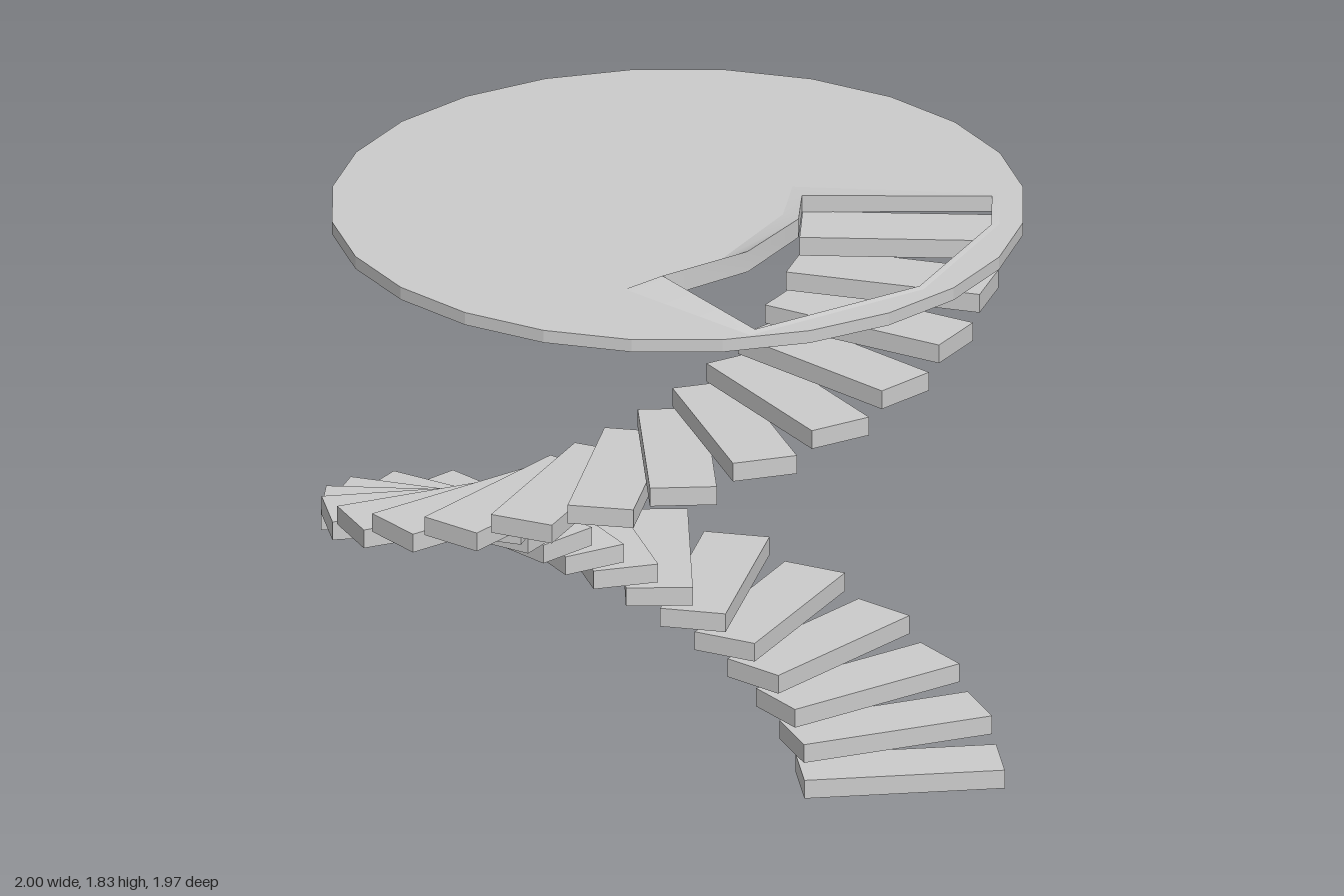
import * as THREE from 'three';
import { toCreasedNormals } from 'three/addons/utils/BufferGeometryUtils.js';

const DEG = Math.PI / 180;
const FLOOR_TOP = 1.803, FLOOR_BOTTOM = 1.765;

// Stairwell corners: x, z, outward spread of the raised lip, lip height
const CORNERS = [
  [-0.28, 0.49, 0.2, 0.022], [0.02, 0.43, 0.25, 0.018],
  [0.26, 0.27, 0.3, 0.012], [0.35, 0.11, 0.2, 0.006],
  [0.835, 0.345, 0.06, 0.002], [0.74, 0.53, 0.06, 0.002],
  [0.36, 0.84, 0.06, 0.003], [-0.2, 0.92, 0.05, 0.006],
];
const spread = ([x, z, k]) => new THREE.Vector2(x + (x - 0.3) * k, z + (z - 0.52) * k);

// 24-sided slab with an opening for the lip
function floorGeometry() {
  const rim = [];
  for (let i = 0; i < 24; i++) {
    const a = (4 + i * 15) * DEG;
    rim.push(new THREE.Vector2(0.011 + 0.988 * Math.cos(a), 0.988 * Math.sin(a)));
  }
  const shape = new THREE.Shape(rim);
  shape.holes.push(new THREE.Path(CORNERS.map(spread)));
  const geo = new THREE.ExtrudeGeometry(shape, { depth: FLOOR_TOP - FLOOR_BOTTOM, bevelEnabled: false });
  return geo.rotateX(Math.PI / 2).translate(0, FLOOR_TOP, 0);
}

// Gently raised lip: a four-point section carried round the opening
function lipGeometry() {
  const pos = [], index = [], n = CORNERS.length;
  CORNERS.forEach((c, i) => {
    const o = spread(c);
    pos.push(o.x, FLOOR_TOP, o.y, c[0], FLOOR_TOP + c[3], c[1],
      c[0], FLOOR_BOTTOM - 0.007, c[1], o.x, FLOOR_BOTTOM, o.y);
    for (let j = 0; j < 3; j++) {
      const a = i * 4 + j, b = ((i + 1) % n) * 4 + j;
      index.push(a, a + 1, b + 1, a, b + 1, b);
    }
  });
  const geo = new THREE.BufferGeometry();
  geo.setAttribute('position', new THREE.Float32BufferAttribute(pos, 3));
  geo.setIndex(index);
  return toCreasedNormals(geo, 0.4);
}

export function createModel() {
  const group = new THREE.Group();
  group.name = 'spiralStaircase';
  const material = new THREE.MeshStandardMaterial({ color: 0xcccccc });

  // Treads winding up to the floor
  const steps = new THREE.Group();
  steps.name = 'steps';
  const stepGeo = new THREE.BoxGeometry(0.573, 0.056, 0.19);
  for (let i = 0; i < 26; i++) {
    const a = (18.9 - 14 * i) * DEG;
    const step = new THREE.Mesh(stepGeo, material);
    step.name = 'step' + (i + 1);
    step.position.set(-0.036 + 0.679 * Math.cos(a), 0.028 + 0.0681 * i, 0.679 * Math.sin(a));
    step.rotation.y = -a;
    steps.add(step);
  }
  group.add(steps);

  // Upper floor and its stairwell lip
  const floor = new THREE.Mesh(floorGeometry(), material);
  floor.name = 'upperFloor';
  const lip = new THREE.Mesh(lipGeometry(), material);
  lip.name = 'stairwellLip';
  group.add(floor, lip);
  return group;
}
